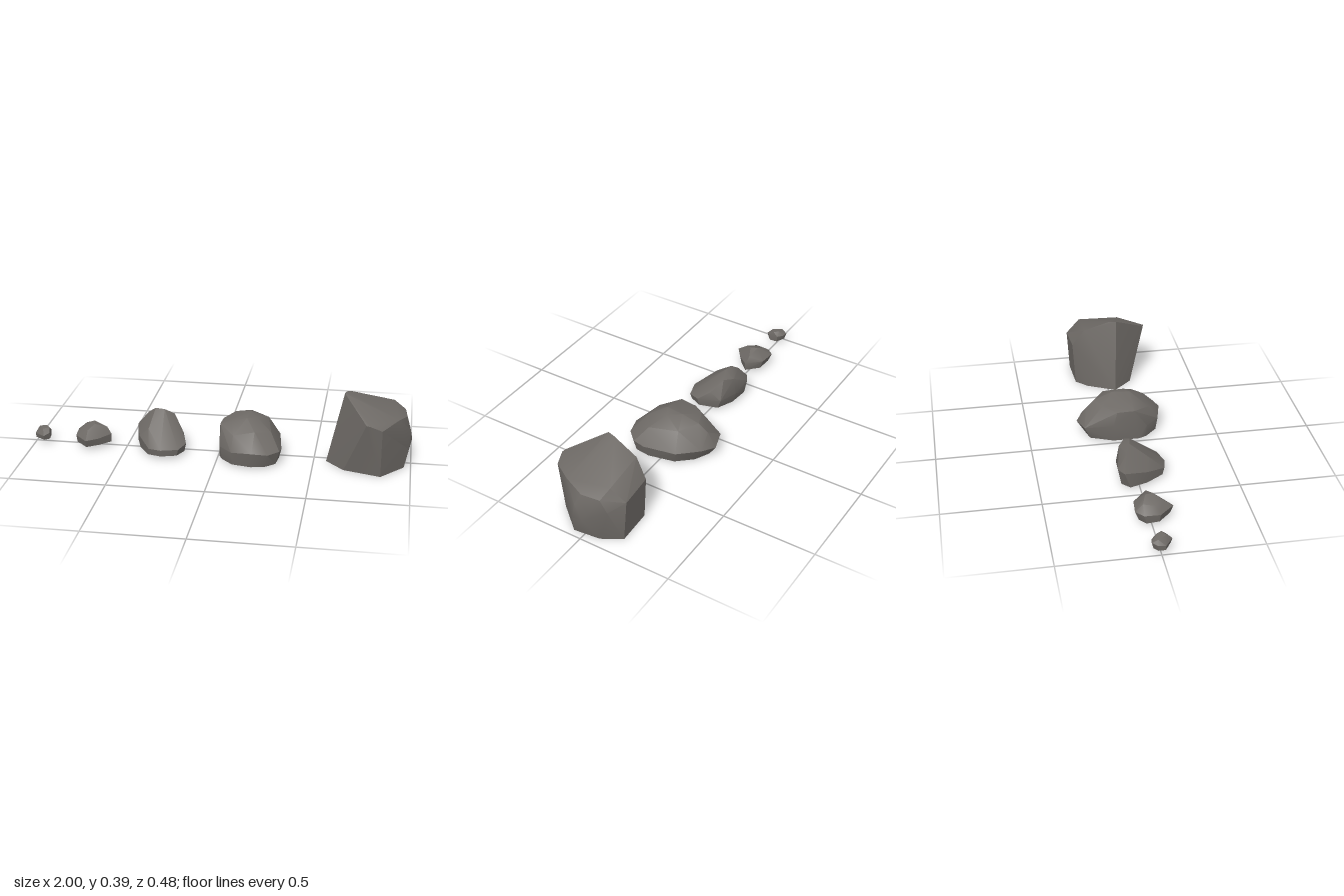
import * as THREE from 'three';
import { toCreasedNormals } from 'three/addons/utils/BufferGeometryUtils.js';
import { ConvexGeometry } from 'three/addons/geometries/ConvexGeometry.js';

// Stones from largest to smallest: a flat base outline [x, z] and chiselled corners [x, y, z].
const boulder = {
  name: 'boulder', floor: 0,
  base: [[.565, .04], [.66, .14], [.85, .195], [.965, .06], [.95, -.08], [.89, -.18], [.70, -.17], [.64, -.11]],
  corners: [
    [.65, .39, .06], [.66, .388, .02], [.68, .335, -.12], [.9, .3, -.12], [.88, .23, -.195], [.7, .24, -.185],
    [.96, .26, -.1], [.97, .26, 0], [.99, .2, .03], [1, .13, -.02], [.985, .1, .05], [.77, .29, .235],
    [.79, .288, .24], [.85, .26, .225], [.93, .28, .11], [.96, .2, -.14],
  ],
};

const longStone = {
  name: 'longStone', floor: .01,
  base: [[.01, .08], [.01, -.06], [.06, -.18], [.14, -.2], [.22, -.16], [.29, -.08],
    [.32, .06], [.31, .14], [.26, .185], [.19, .2], [.09, .18], [.03, .12]],
  corners: [
    [.008, .1, .06], [.008, .1, -.06], [.045, .08, -.21], [.145, .07, -.24], [.22, .08, -.2], [.31, .08, -.1],
    [.335, .07, .08], [.33, .08, .14], [.275, .08, .2], [.195, .09, .217], [.085, .08, .19], [.02, .08, .12],
    [.01, .18, .05], [.015, .175, -.04], [.07, .198, .05], [.07, .19, -.11], [.15, .22, .05], [.16, .22, -.05],
    [.2, .213, .02], [.15, .19, -.14], [.25, .18, -.08], [.28, .16, .08], [.2, .175, .13], [.09, .155, .14],
    [.14, .145, -.19],
  ],
};

const slopedStone = {
  name: 'slopedStone', floor: .015,
  base: [[-.45, -.05], [-.42, .04], [-.36, .13], [-.29, .15], [-.21, .125], [-.18, .06],
    [-.21, -.04], [-.3, -.08], [-.41, -.09]],
  corners: [
    [-.455, .1, -.08], [-.41, .1, -.107], [-.3, .08, -.1], [-.205, .07, -.06], [-.17, .06, .065], [-.2, .05, .13],
    [-.29, .05, .155], [-.355, .05, .14], [-.425, .08, .04], [-.39, .18, -.06], [-.35, .21, -.04], [-.3, .21, -.03],
    [-.25, .18, -.05], [-.37, .13, .06], [-.27, .125, .06], [-.2, .11, 0], [-.3, .17, -.085],
  ],
};

const smallStone = {
  name: 'smallStone', floor: .02,
  base: [[-.772, -.03], [-.735, -.06], [-.65, -.055], [-.588, .005], [-.64, .06], [-.7, .1], [-.765, .035]],
  corners: [
    [-.775, .065, -.04], [-.74, .07, -.08], [-.65, .07, -.072], [-.585, .065, .005], [-.64, .06, .07],
    [-.7, .06, .115], [-.77, .06, .04], [-.73, .103, -.04], [-.68, .125, -.02], [-.67, .122, .02],
    [-.61, .1, -.005], [-.7, .1, .06], [-.74, .095, .02],
  ],
};

const pebble = {
  name: 'pebble', floor: .025,
  base: [[-.998, -.015], [-.975, -.035], [-.925, -.012], [-.92, .03], [-.945, .052], [-.998, .018]],
  corners: [
    [-1, .055, -.02], [-.98, .06, -.045], [-.95, .06, -.04], [-.922, .06, -.015], [-.918, .06, .035],
    [-.945, .05, .06], [-1, .05, .02], [-.985, .078, -.015], [-.945, .085, -.015], [-.925, .082, .01], [-.955, .08, .03],
  ],
};

// Wraps a hull round the corners; worked out at 100x so small stones keep distinct vertices.
function makeStone({ name, floor, base, corners }, material) {
  const points = [...base.map(([x, z]) => [x, floor, z]), ...corners]
    .map(([x, y, z]) => new THREE.Vector3(x, y, z).multiplyScalar(100));
  const geometry = toCreasedNormals(new ConvexGeometry(points), 0.55).scale(.01, .01, .01);
  const mesh = new THREE.Mesh(geometry, material);
  mesh.name = name;
  return mesh;
}

export function createModel() {
  const stone = new THREE.MeshStandardMaterial({ color: 0x6e6a66 });
  stone.name = 'warm grey stone';
  const group = new THREE.Group();
  group.name = 'stones';
  for (const shape of [boulder, longStone, slopedStone, smallStone, pebble]) group.add(makeStone(shape, stone));
  return group;
}
